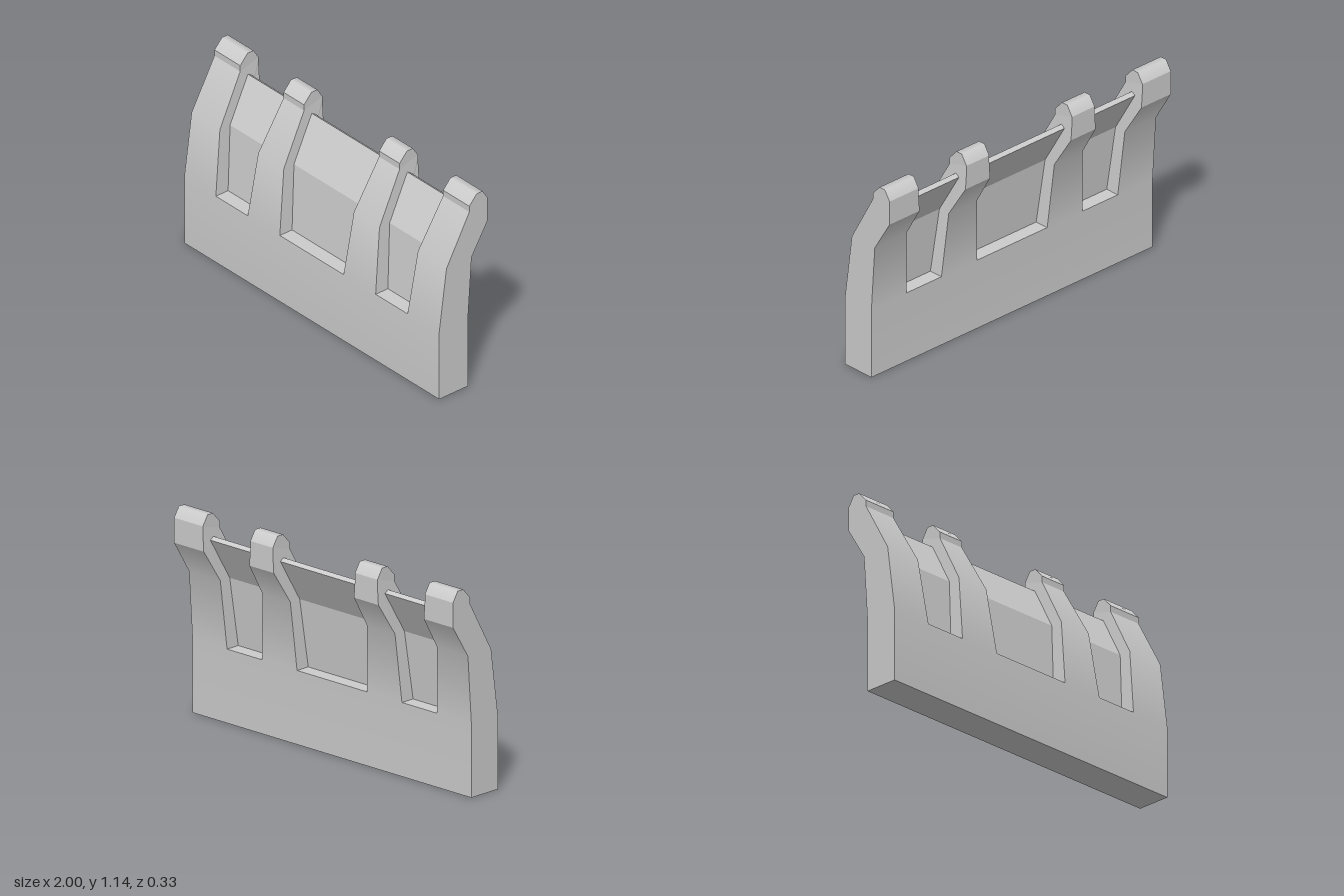
import * as THREE from 'three';

const LEDGE = 0.4, SHOULDER = 1.05;

// Post profile as [z, y], up the front, over the cap and down the back.
const PROFILE = [
  [0.165, 0], [0.165, LEDGE], [0.115, 0.77], [-0.04, SHOULDER], [-0.04, 1.085],
  [-0.09, 1.14], [-0.13, 1.14], [-0.165, 1.085], [-0.165, SHOULDER], [-0.165, 0.95],
  [-0.055, 0.77], [-0.03, LEDGE], [-0.03, 0],
];
// Smoothing group of each profile segment.
const GROUPS = [0, 0, 0, 1, 2, 2, 2, 3, 3, 4, 4, 4];

// Thin panel profile, following the bend of the posts.
const PANEL = [
  [0.082, LEDGE], [0.046, 0.77], [-0.09, 1.015], [-0.114, 1.0], [0.014, 0.77], [0.052, LEDGE],
];

// Post edges: [left bottom, left top, right bottom, right top].
const POSTS = [
  [-1, -1, -0.752, -0.798],
  [-0.502, -0.458, -0.25, -0.297],
  [0.25, 0.292, 0.502, 0.453],
  [0.752, 0.794, 1, 1],
];

// Edge that tapers from the ledge to the shoulder, then runs straight up.
const edge = (low, high) => (y) =>
  low + (high - low) * THREE.MathUtils.clamp((y - LEDGE) / (SHOULDER - LEDGE), 0, 1);

function flatSegment(a, b) {
  const n = new THREE.Vector2(b[1] - a[1], a[0] - b[0]).normalize();
  return { a, b, na: n, nb: n };
}

// Segments whose normals are averaged inside each smoothing group.
function smoothSegments(points, groups) {
  const flat = groups.map((g, i) => flatSegment(points[i], points[i + 1]));
  const blend = (i, j) =>
    groups[i] === groups[j] ? flat[i].na.clone().add(flat[j].na).normalize() : flat[i].na;
  return flat.map((s, i) => ({ a: s.a, b: s.b, na: blend(i, i - 1), nb: blend(i, i + 1) }));
}

// Solid swept along x between two edge functions, with flat ends.
function sweep(segments, left, right) {
  const pos = [], nor = [];
  for (const { a, b, na, nb } of segments) {
    const quad = [[a, left, na], [a, right, na], [b, right, nb], [b, left, nb]];
    for (const k of [0, 1, 2, 0, 2, 3]) {
      const [p, x, n] = quad[k];
      pos.push(x(p[1]), p[1], p[0]);
      nor.push(0, n.y, n.x);
    }
  }
  const outline = segments.map((s) => new THREE.Vector2(...s.a));
  const last = segments[segments.length - 1].b;
  if (last !== segments[0].a) outline.push(new THREE.Vector2(...last));
  const tris = THREE.ShapeUtils.triangulateShape(outline, []);
  const tri = new THREE.Triangle(), n = new THREE.Vector3();
  for (const [x, flip] of [[left, false], [right, true]]) {
    for (const t of tris) {
      const c = (flip ? [t[2], t[1], t[0]] : t).map(
        (i) => new THREE.Vector3(x(outline[i].y), outline[i].y, outline[i].x));
      tri.set(...c).getNormal(n);
      for (const v of c) {
        pos.push(v.x, v.y, v.z);
        nor.push(n.x, n.y, n.z);
      }
    }
  }
  const geo = new THREE.BufferGeometry();
  geo.setAttribute('position', new THREE.Float32BufferAttribute(pos, 3));
  geo.setAttribute('normal', new THREE.Float32BufferAttribute(nor, 3));
  return geo;
}

export function createModel() {
  const group = new THREE.Group();
  const material = new THREE.MeshStandardMaterial({ color: 0xcccccc });
  const add = (name, geo) => {
    const mesh = new THREE.Mesh(geo, material);
    mesh.name = name;
    group.add(mesh);
  };

  const segs = smoothSegments(PROFILE, GROUPS);
  const front = segs[0], back = segs[segs.length - 1];

  // Solid lower wall
  const base = [front, flatSegment(front.b, back.a), back, flatSegment(back.b, front.a)];
  add('baseWall', sweep(base, () => -1, () => 1));

  // Tapered posts with rounded caps
  POSTS.forEach(([l0, l1, r0, r1], i) =>
    add(`post${i + 1}`, sweep(segs.slice(1, -1), edge(l0, l1), edge(r0, r1))));

  // Thin bent panels between neighbouring posts
  const panel = PANEL.map((p, i) => flatSegment(p, PANEL[(i + 1) % PANEL.length]));
  for (let i = 0; i < 3; i++) {
    const [, , l0, l1] = POSTS[i], [r0, r1] = POSTS[i + 1];
    add(`panel${i + 1}`, sweep(panel, edge(l0, l1), edge(r0, r1)));
  }
  return group;
}
